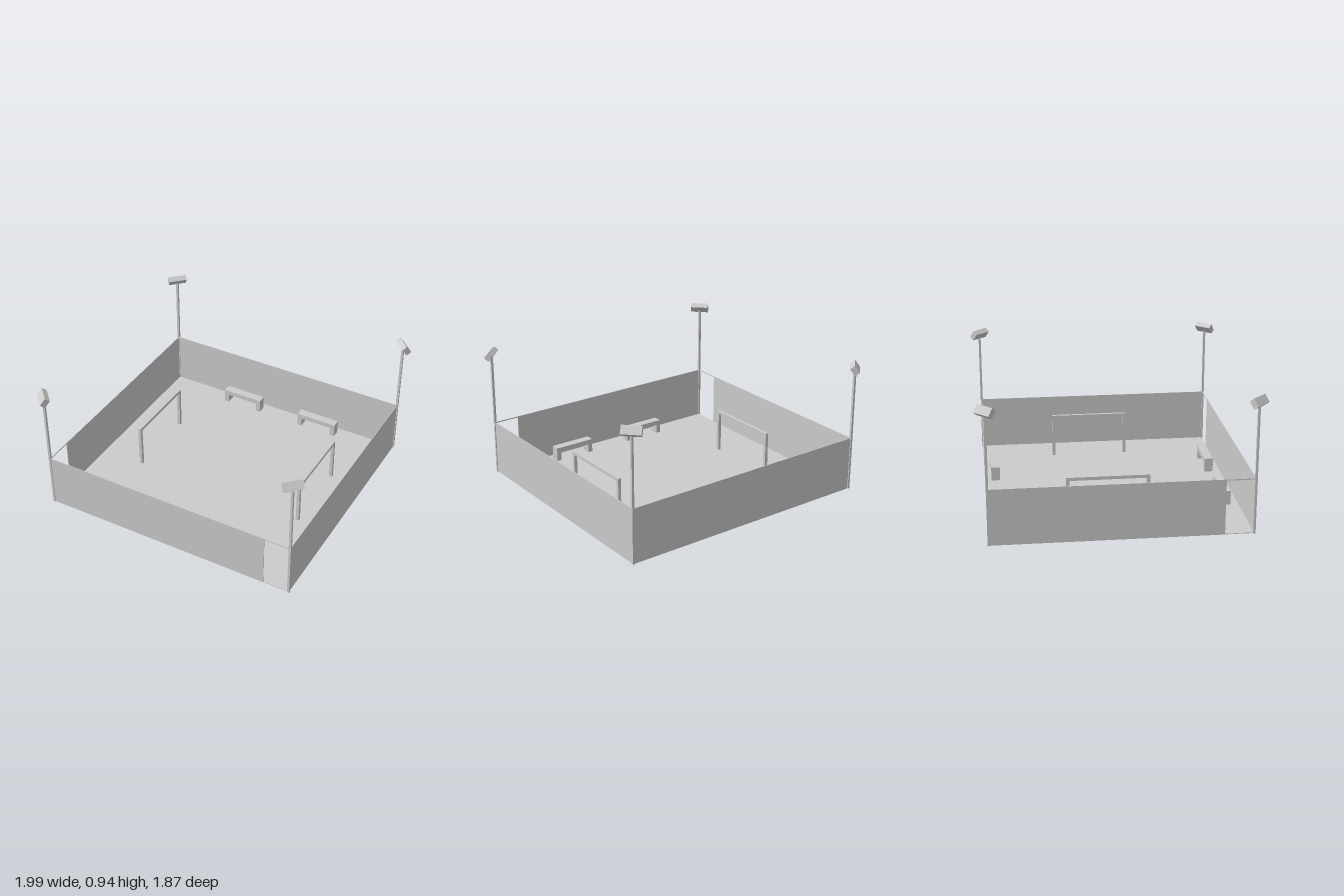
import * as THREE from 'three';

const HX = 0.925, HZ = 0.863, WALL_H = 0.385, THIN = 0.004;

export function createModel() {
  const model = new THREE.Group();
  const mat = new THREE.MeshStandardMaterial({ color: 0xcccccc, flatShading: true });

  // box placed by its minimum and maximum corners
  function box(name, [x0, y0, z0], [x1, y1, z1], parent = model) {
    const mesh = new THREE.Mesh(new THREE.BoxGeometry(x1 - x0, y1 - y0, z1 - z0), mat);
    mesh.position.set((x0 + x1) / 2, (y0 + y1) / 2, (z0 + z1) / 2);
    mesh.name = name;
    parent.add(mesh);
    return mesh;
  }
  function group(name) {
    const g = new THREE.Group();
    g.name = name;
    model.add(g);
    return g;
  }

  box('floor', [-HX, 0, -HZ], [HX, 0.005, HZ]);

  // thin perimeter walls; front and one side each leave a gateway at one end
  const t = THIN / 2, gateX = 0.74, gateZ = 0.67, lintelY = 0.377;
  box('backWall', [-HX, 0, -HZ - t], [HX, WALL_H, -HZ + t]);
  box('leftWall', [HX - t, 0, -HZ], [HX + t, WALL_H, HZ]);
  box('frontWall', [-HX, 0, HZ - t], [gateX, WALL_H, HZ + t]);
  box('frontGateLintel', [gateX, lintelY, HZ - t], [HX, WALL_H, HZ + t]);
  box('rightWall', [-HX - t, 0, -HZ], [-HX + t, WALL_H, gateZ]);
  box('rightGateLintel', [-HX - t, lintelY, gateZ], [-HX + t, WALL_H, HZ]);

  // goal frames: two posts and a crossbar
  const goalH = 0.32, bar = 0.022;
  for (const x of [-0.61, 0.667]) {
    const goal = group('goal');
    const a = x - bar / 2, b = x + bar / 2, z0 = -0.34, z1 = 0.22;
    box('goalPost', [a, 0, z0], [b, goalH - bar, z0 + bar], goal);
    box('goalPost', [a, 0, z1 - bar], [b, goalH - bar, z1], goal);
    box('crossbar', [a, goalH - bar, z0], [b, goalH, z1], goal);
  }

  // benches: seat slab on two block legs
  const benchH = 0.105, seatT = 0.035, leg = 0.035;
  for (const z of [-0.787, 0.776]) {
    for (const x of [-0.45, 0.182]) {
      const bench = group('bench');
      const x1 = x + 0.307, z0 = z - 0.031, z1 = z + 0.031;
      box('seat', [x, benchH - seatT, z0], [x1, benchH, z1], bench);
      box('benchLeg', [x, 0, z0], [x + leg, benchH - seatT, z1], bench);
      box('benchLeg', [x1 - leg, 0, z0], [x1, benchH - seatT, z1], bench);
    }
  }

  // corner floodlights, aimed inward and down
  for (const sx of [-1, 1]) {
    for (const sz of [-1, 1]) {
      const light = group('floodlight');
      light.position.set(sx * HX, 0, sz * HZ);
      box('lightPole', [-0.008, 0, -0.008], [0.008, 0.895, 0.008], light);
      const head = new THREE.Group();
      head.name = 'lampHead';
      head.position.y = 0.903;
      head.rotation.y = Math.atan2(sx, sz);
      light.add(head);
      box('lamp', [-0.066, -0.03, -0.02], [0.066, 0.03, 0.02], head).rotation.x = -0.66;
    }
  }
  return model;
}
